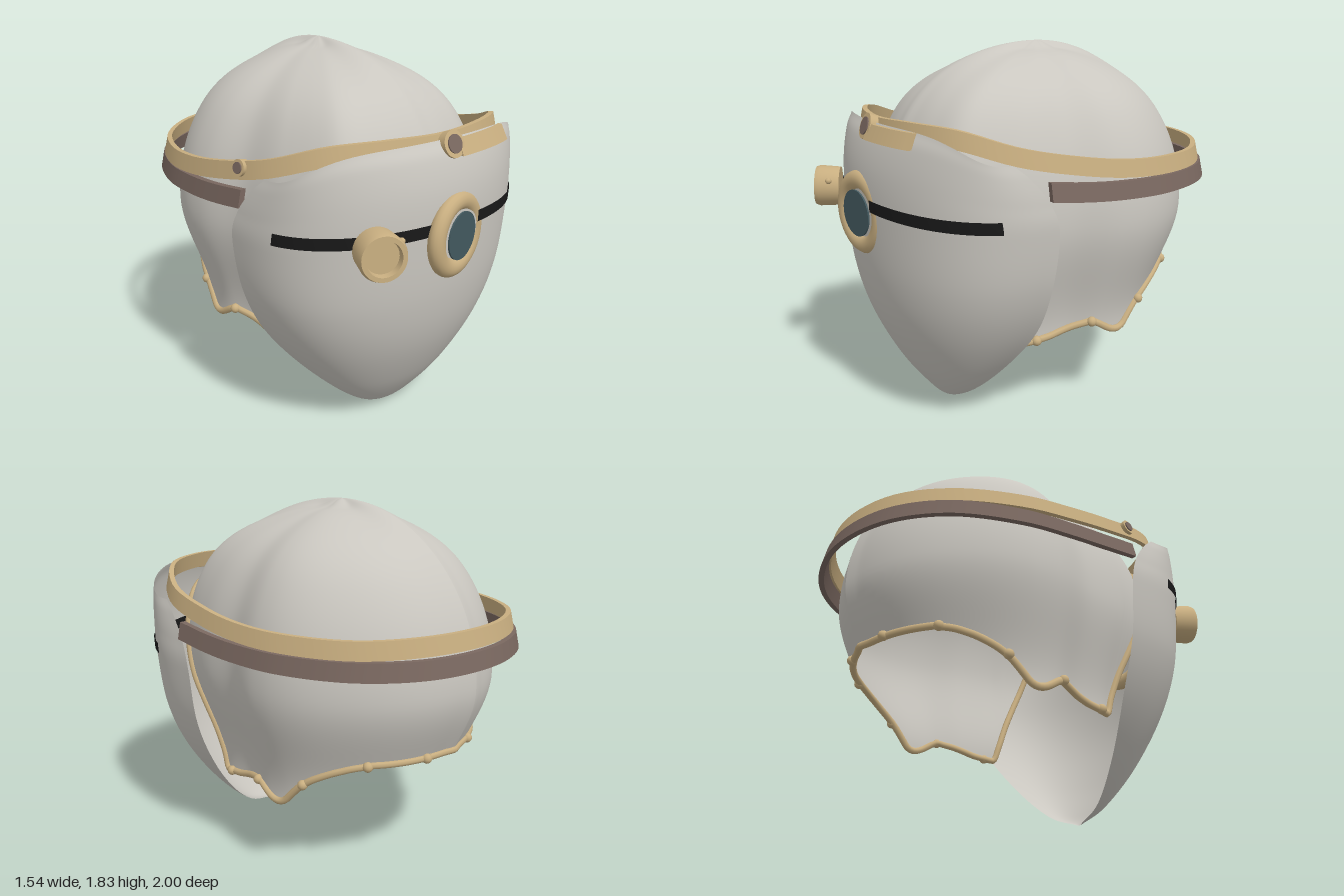
import * as THREE from 'three';
import { ParametricGeometry } from 'three/addons/geometries/ParametricGeometry.js';
import { toCreasedNormals } from 'three/addons/utils/BufferGeometryUtils.js';

const mat = (name, color) => new THREE.MeshStandardMaterial({ name, color, side: THREE.DoubleSide });
const V = (x, y, z) => new THREE.Vector3(x, y, z);

export function createModel() {
  const model = new THREE.Group();
  const shell = mat('shellGrey', 0xcac7c0);
  const tan = mat('tanLeather', 0xc8ae80);
  const brown = mat('brownLeather', 0x7a6860);
  const black = mat('slitBlack', 0x191919);
  const glass = mat('lensTeal', 0x43595f);

  const add = (name, geometry, material, parent = model) => {
    const mesh = new THREE.Mesh(geometry, material);
    mesh.name = name;
    parent.add(mesh);
    return mesh;
  };
  const surface = (fn, columns, rows) => {
    const g = new ParametricGeometry(fn, columns, rows);
    g.computeVertexNormals();
    return g;
  };
  const table = (Type, rows) => {
    const n = rows[0].length - 1;
    const interp = new Type(rows.map(r => r[0]), rows.flatMap(r => r.slice(1)), n, new Float32Array(n));
    return t => interp.evaluate(t);
  };
  const smooth = THREE.MathUtils.smoothstep;

  // Skull dome: plan radius and lower edge by angle from the front, in degrees
  const planRadius = table(THREE.CubicInterpolant, [
    [0, 0.83], [18, 0.84], [32, 0.85], [40, 0.795], [46, 0.755], [54, 0.715], [74, 0.64], [96, 0.695],
    [107, 0.72], [133, 0.75], [158, 0.788], [180, 0.81]]);
  const rimHeight = table(THREE.LinearInterpolant, [
    [0, 1.39], [28, 1.37], [33, 1.29], [40, 0.99], [53, 0.42], [65, 0.435], [78, 0.47], [87, 0.49],
    [91, 0.475], [95, 0.445], [99, 0.428], [103, 0.425], [106, 0.445], [109, 0.485], [115, 0.55],
    [121, 0.592], [128, 0.63], [136, 0.662], [144, 0.68], [180, 0.685]]);
  const domePoint = (theta, t, out, grow = 0) => {
    const deg = Math.min(180, Math.abs(theta) * 180 / Math.PI);
    const phi = t * Math.acos((rimHeight(deg)[0] - 1) / 0.83);
    const off = Math.min(Math.abs(theta), Math.PI - Math.abs(theta));
    // the crown falls away either side of the centre seam
    const drop = 0.035 * (1 - Math.exp(-((off / 0.3) ** 2))) * smooth(phi, 0, 0.14) * (1 - smooth(phi, 0.35, 0.95));
    const y = 1 + 0.825 * Math.cos(phi) - drop;
    const power = 1 - 0.35 * Math.max(0, Math.cos(theta)) ** 2 * Math.sin(phi);
    const tuck = 0.15 + 0.06 * Math.max(0, -Math.cos(theta));
    const f = phi < Math.PI / 2 ? Math.sin(phi) ** power : 1 - tuck * smooth(1 - y, 0, 0.55);
    const ridge = 0.014 * Math.exp(-((off / 0.06) ** 2));
    const r = f * (planRadius(deg)[0] + ridge) + grow;
    return out.set(r * Math.sin(theta), y, r * Math.cos(theta) - 0.08);
  };
  add('skullDome', surface((u, v, p) => domePoint((u * 2 - 1) * Math.PI, v, p), 160, 48), shell);

  // Leather trim round the lower edge and the face opening, with rivets
  const rim = [];
  for (let i = 0; i < 120; i++) rim.push(domePoint((i / 60 - 1) * Math.PI, 1, V(), 0.003));
  add('rimTrim', new THREE.TubeGeometry(new THREE.CatmullRomCurve3(rim, true), 300, 0.018, 8, true), tan);
  for (const side of [-1, 1]) {
    for (const deg of [59, 87, 115, 142, 166]) {
      const rivet = add('rimRivet', new THREE.SphereGeometry(0.025, 12, 8), tan);
      domePoint(side * deg * Math.PI / 180, 1, rivet.position, 0.012);
    }
  }

  // Face mask: rows of centre height, centre z, half width, edge height, edge z
  const maskRow = table(THREE.CubicInterpolant, [
    [0, 0, 0.5, 0.015, 0, 0.49], [1, 0.07, 0.57, 0.2, 0.07, 0.45], [2, 0.25, 0.7, 0.405, 0.25, 0.375],
    [3, 0.5, 0.82, 0.6, 0.5, 0.29], [4, 0.75, 0.88, 0.71, 0.75, 0.265], [5, 1.05, 0.9, 0.752, 1.03, 0.255],
    [6, 1.25, 0.895, 0.745, 1.17, 0.3], [7, 1.4, 0.86, 0.725, 1.28, 0.385], [8, 1.475, 0.815, 0.705, 1.345, 0.46]]);
  const maskPoint = (a, row, out) => {
    const [yc, zc, w, ye, ze] = maskRow(row);
    const s = Math.sin(a), c = Math.max(0, Math.cos(a));
    const shift = -0.012 * Math.min(1, row / 4);
    return out.set(w * s + shift, yc + (ye - yc) * s ** 6, ze + (zc - ze) * c ** 0.7);
  };
  add('faceMask', surface((u, v, p) => maskPoint((u - 0.5) * Math.PI, v * 8, p), 80, 64), shell);

  // Point on the mask at a given height, pushed out a little
  const maskAt = (a, y, lift, out = V()) => {
    let lo = 0, hi = 8;
    for (let i = 0; i < 24; i++) {
      const mid = (lo + hi) / 2;
      if (maskPoint(a, mid, out).y < y) lo = mid; else hi = mid;
    }
    out.x += lift * Math.sin(a);
    out.z += lift * Math.cos(a);
    return out;
  };

  // Dark sight slits either side of the lens, on both faces of the mask
  for (const lift of [0.007, -0.007]) {
    for (const side of [-1, 1]) {
      add('sightSlit', surface((u, v, p) => {
        const a = side * (0.2 + u * 1.09);
        return maskAt(a, 1.112 - 0.012 * Math.abs(a) - 0.006 * a + (v - 0.5) * 0.056, lift, p);
      }, 28, 2), black);
    }
  }

  // Strap of rectangular section swept along a curve, its lower edge leaning out
  const strap = (name, points, height, thick, lean, closed, material) => {
    const curve = new THREE.CatmullRomCurve3(points, closed);
    const steps = 96, pos = [], index = [];
    for (let i = 0; i <= steps; i++) {
      const p = curve.getPointAt(i / steps), t = curve.getTangentAt(i / steps);
      const n = V(-t.z, 0, t.x).normalize();
      if (n.x * p.x + n.z * (p.z + 0.1) < 0) n.negate();
      for (const [s, h] of [[1, -1], [1, 1], [-1, 1], [-1, -1]]) {
        const d = (s * thick - h * lean) / 2;
        pos.push(p.x + n.x * d, p.y + h * height / 2, p.z + n.z * d);
      }
      for (let k = 0; k < 4 && i < steps; k++) {
        const a = i * 4 + k, b = i * 4 + (k + 1) % 4;
        index.push(a, a + 4, b, b, a + 4, b + 4);
      }
    }
    const e = steps * 4;
    if (!closed) index.push(0, 1, 2, 0, 2, 3, e, e + 2, e + 1, e, e + 3, e + 2);
    const g = new THREE.BufferGeometry();
    g.setAttribute('position', new THREE.Float32BufferAttribute(pos, 3));
    g.setIndex(index);
    return add(name, toCreasedNormals(g, 0.6), material);
  };
  const mirrored = half => half.slice(1).reverse().map(([x, y, z]) => V(-x, y, z));

  // Headband, from the mask brow round the back
  const head = [[0, 1.455, 0.795], [0.3, 1.46, 0.75], [0.53, 1.445, 0.63], [0.675, 1.375, 0.42], [0.727, 1.32, 0.15],
    [0.737, 1.285, -0.1], [0.705, 1.27, -0.35], [0.567, 1.265, -0.66], [0.335, 1.275, -0.865], [0, 1.28, -0.95]];
  strap('headband', [...head.map(p => V(...p)), ...mirrored(head).slice(1)], 0.08, 0.024, 0.018, true, tan);

  // Lower brown strap round the back
  const back = [[0, 1.187, -0.977], [0.345, 1.183, -0.892], [0.582, 1.18, -0.68], [0.714, 1.18, -0.36],
    [0.743, 1.187, -0.1], [0.743, 1.2, 0.1], [0.733, 1.222, 0.3]];
  strap('backStrap', [...mirrored(back), ...back.map(p => V(...p))], 0.082, 0.028, 0.018, false, brown);

  // Short strap end lying over the brow of the mask
  const flap = [];
  for (let i = 0; i <= 6; i++) flap.push(maskAt(0.07 + i * 0.093, 1.435, 0.008));
  strap('browStrapEnd', flap, 0.07, 0.018, 0.034, false, tan);

  // Round bolts, each facing along a direction
  const facing = (name, position, direction) => {
    const g = new THREE.Group();
    g.name = name;
    g.position.copy(position);
    g.quaternion.setFromUnitVectors(V(0, 1, 0), direction.normalize());
    model.add(g);
    return g;
  };
  const bolt = (name, position, direction, r) => {
    const g = facing(name, position, direction);
    add('boltBody', new THREE.CylinderGeometry(r, r, 0.04, 28), tan, g);
    add('boltFace', new THREE.CylinderGeometry(r * 0.68, r * 0.68, 0.008, 28), brown, g).position.y = 0.022;
  };
  bolt('browBolt', V(0.005, 1.45, 0.832), V(0, 0.35, 1), 0.062);
  bolt('sideBolt', V(-0.718, 1.355, 0.28), V(-1, 0.2, 0.15), 0.038);

  // Central lens in a padded ring
  const lens = new THREE.Group();
  lens.name = 'centralLens';
  lens.position.set(0.005, 1.05, 0.885);
  lens.rotation.y = 0.19;
  model.add(lens);
  add('lensRing', new THREE.TorusGeometry(0.156, 0.045, 16, 56), tan, lens).scale.z = 0.85;
  const pane = add('lensGlass', new THREE.CylinderGeometry(0.112, 0.112, 0.008, 40), glass, lens);
  pane.rotation.x = Math.PI / 2;
  pane.position.z = 0.034;

  // Side eyepiece with a recessed face and a small knob
  const eyepiece = facing('sideEyepiece', V(-0.443, 1.083, 0.845), V(-0.42, 0.05, 0.9));
  const profile = [[0, 0], [0.1, 0], [0.106, 0.1], [0.098, 0.122], [0.078, 0.122], [0.074, 0.09], [0, 0.09]];
  const cup = new THREE.LatheGeometry(profile.map(p => new THREE.Vector2(...p)), 40);
  add('eyepieceCup', toCreasedNormals(cup, 0.6), tan, eyepiece);
  add('eyepieceKnob', new THREE.SphereGeometry(0.016, 10, 8), tan, eyepiece).position.set(0.106, 0.05, 0);

  return model;
}
